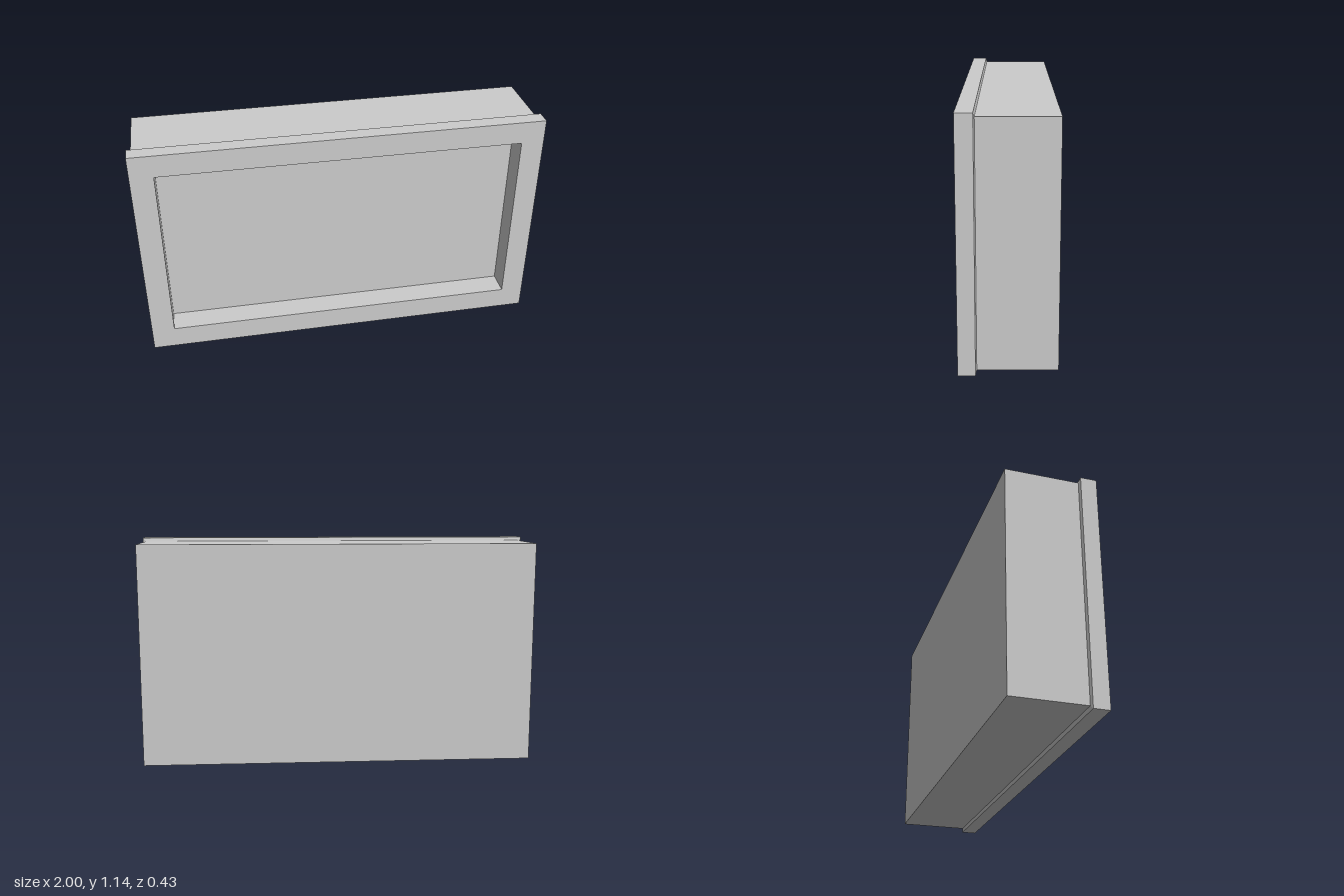
import * as THREE from 'three';

const HALF_W = 1, HALF_H = 0.57;       // outer half size of the front frame
const BODY_INSET = 0.018, OPENING_INSET = 0.113;
const BACK_Z = -0.217, JOINT_Z = 0.135, RIM_Z = 0.14, FRONT_Z = 0.217, FLOOR_Z = 0.095;

// Rectangle corners, anticlockwise from the front, inset from the outer size
function corners([inset, z]) {
  const w = HALF_W - inset, h = HALF_H - inset;
  return [[-w, HALF_H - h, z], [w, HALF_H - h, z], [w, HALF_H + h, z], [-w, HALF_H + h, z]];
}

// Joins rectangular sections [inset, z] with flat quads; the ends stay open
function rectLoft(sections) {
  const pos = [];
  for (let s = 0; s < sections.length - 1; s++) {
    const a = corners(sections[s]), b = corners(sections[s + 1]);
    for (let i = 0; i < 4; i++) {
      const j = (i + 1) % 4;
      for (const p of [a[i], a[j], b[j], a[i], b[j], b[i]]) pos.push(...p);
    }
  }
  const geo = new THREE.BufferGeometry();
  geo.setAttribute('position', new THREE.Float32BufferAttribute(pos, 3));
  geo.computeVertexNormals();
  return geo;
}

// Flat rectangle closing a section, facing front or back
function panel(inset, z, facesBack) {
  const geo = new THREE.PlaneGeometry(2 * (HALF_W - inset), 2 * (HALF_H - inset));
  if (facesBack) geo.rotateY(Math.PI);
  return geo.translate(0, HALF_H, z);
}

export function createModel() {
  const group = new THREE.Group();
  const material = new THREE.MeshStandardMaterial({ color: 0xcccccc, flatShading: true });
  const add = (name, geo) => {
    const mesh = new THREE.Mesh(geo, material);
    mesh.name = name;
    group.add(mesh);
  };

  // Box body: four sides and the back
  add('bodySides', rectLoft([[BODY_INSET, BACK_Z], [BODY_INSET, JOINT_Z]]));
  add('backPanel', panel(BODY_INSET, BACK_Z, true));

  // Front frame: slanted rear lip, rim, front face and walls of the recess
  add('frontFrame', rectLoft([
    [BODY_INSET, JOINT_Z], [0, RIM_Z], [0, FRONT_Z],
    [OPENING_INSET, FRONT_Z], [OPENING_INSET, FLOOR_Z],
  ]));

  // Recessed panel behind the opening
  add('recessedPanel', panel(OPENING_INSET, FLOOR_Z, false));

  return group;
}
